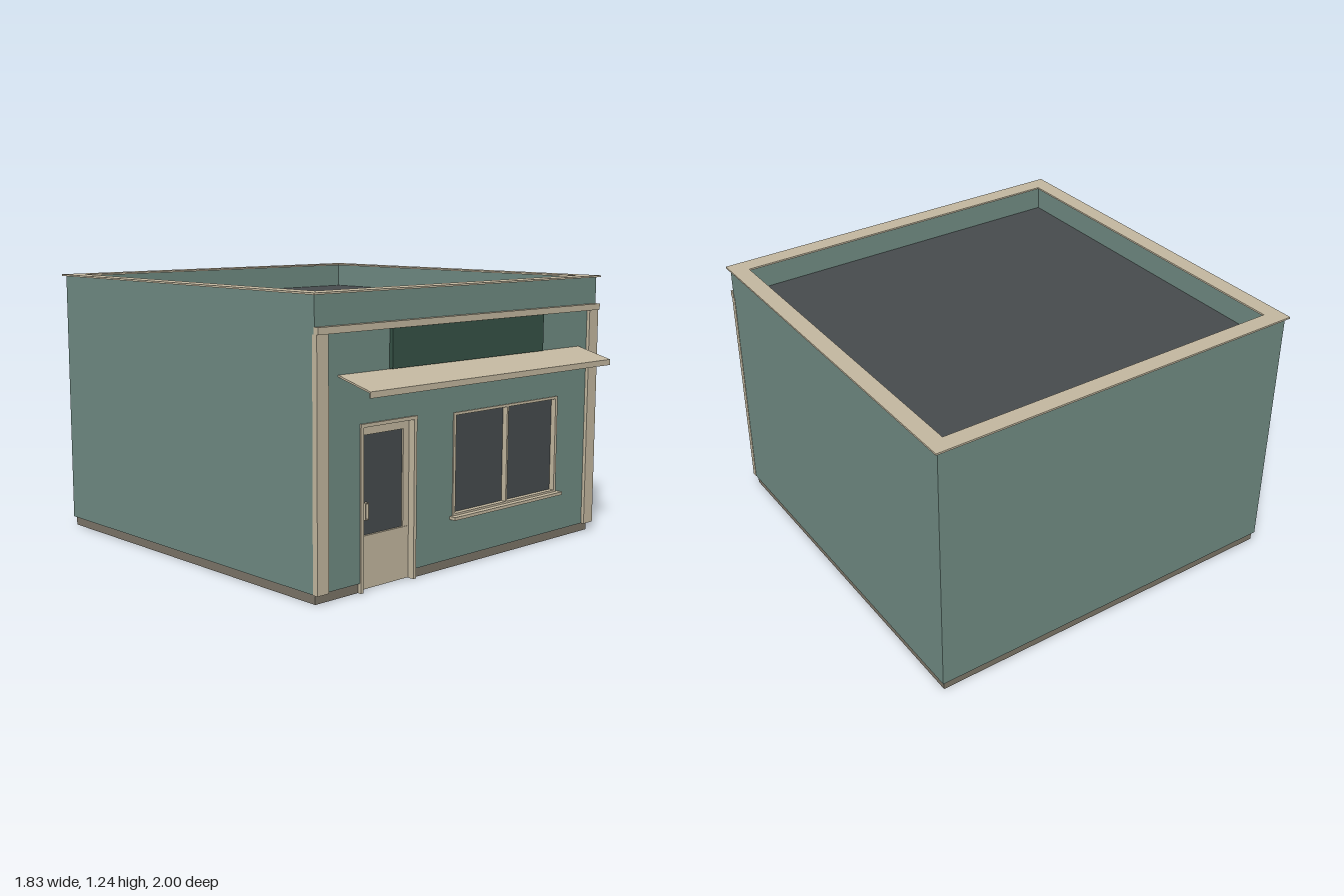
import * as THREE from 'three';

const material = (name, color) => {
  const m = new THREE.MeshStandardMaterial({ color });
  m.name = name;
  return m;
};

export function createModel() {
  const wallGreen = material('wall green', 0x6f8a82);
  const trimCream = material('trim cream', 0xc2b79f);
  const baseBrown = material('base brown', 0x7b7467);
  const darkSlate = material('dark slate', 0x464b4d);
  const signGreen = material('sign green', 0x355145);

  const model = new THREE.Group();
  model.name = 'shop';

  const add = (name, geometry, mat) => {
    const mesh = new THREE.Mesh(geometry, mat);
    mesh.name = name;
    model.add(mesh);
    return mesh;
  };
  // Box given by its extents on each axis
  const box = (name, mat, x0, x1, y0, y1, z0, z1) => {
    const g = new THREE.BoxGeometry(x1 - x0, y1 - y0, z1 - z0);
    g.translate((x0 + x1) / 2, (y0 + y1) / 2, (z0 + z1) / 2);
    return add(name, g, mat);
  };
  const rect = (Type, x0, x1, y0, y1) => new Type([
    [x0, y0], [x1, y0], [x1, y1], [x0, y1],
  ].map(([x, y]) => new THREE.Vector2(x, y)));
  // Upright panel with rectangular holes
  const panel = (name, mat, outline, holes, z0, z1) => {
    outline.holes = holes.map((h) => rect(THREE.Path, ...h));
    const g = new THREE.ExtrudeGeometry(outline, { depth: z1 - z0, bevelEnabled: false });
    g.translate(0, 0, z0);
    return add(name, g, mat);
  };
  // Flat rectangular ring lying between two heights
  const ring = (name, mat, outer, inner, y0, y1) => {
    const [ox, oz0, oz1] = outer;
    const [ix, iz0, iz1] = inner;
    const s = rect(THREE.Shape, -ox, ox, -oz1, -oz0);
    s.holes = [rect(THREE.Path, -ix, ix, -iz1, -iz0)];
    const g = new THREE.ExtrudeGeometry(s, { depth: y1 - y0, bevelEnabled: false });
    g.rotateX(-Math.PI / 2);
    g.translate(0, y0, 0);
    return add(name, g, mat);
  };

  // Walls: the front one has a door notch and a window opening
  const front = new THREE.Shape([
    [-0.9, 0.042], [-0.65, 0.042], [-0.65, 0.695], [-0.335, 0.695],
    [-0.335, 0.042], [0.9, 0.042], [0.9, 1.235], [-0.9, 1.235],
  ].map(([x, y]) => new THREE.Vector2(x, y)));
  panel('frontWall', wallGreen, front, [[-0.095, 0.615, 0.23, 0.685]], 0.765, 0.818);
  box('backWall', wallGreen, -0.9, 0.9, 0.042, 1.235, -0.985, -0.935);
  for (const s of [-1, 1]) {
    const a = s * 0.9, b = s * 0.85;
    box('sideWall', wallGreen, Math.min(a, b), Math.max(a, b), 0.042, 1.235, -0.935, 0.765);
  }

  // Roof deck and parapet cap
  box('roof', darkSlate, -0.85, 0.85, 1.09, 1.12, -0.935, 0.765);
  ring('parapetCap', trimCream, [0.915, -1, 0.834], [0.835, -0.92, 0.75], 1.235, 1.243);

  // Base course, broken at the door
  for (const s of [-1, 1]) {
    const a = s * 0.89, b = s * 0.84;
    box('sideBase', baseBrown, Math.min(a, b), Math.max(a, b), 0, 0.042, -0.925, 0.76);
  }
  box('backBase', baseBrown, -0.89, 0.89, 0, 0.042, -0.975, -0.925);
  box('frontBase', baseBrown, -0.89, -0.655, 0, 0.042, 0.76, 0.807);
  box('frontBase', baseBrown, -0.33, 0.89, 0, 0.042, 0.76, 0.807);

  // Corner pilasters and the band above them
  box('pilaster', trimCream, -0.902, -0.84, 0.042, 1.081, 0.807, 0.834);
  box('pilaster', trimCream, 0.835, 0.902, 0.042, 1.081, 0.807, 0.834);
  box('band', trimCream, -0.902, 0.902, 1.081, 1.11, 0.815, 0.842);

  // Blank sign board
  box('signBoard', signGreen, -0.49, 0.485, 0.915, 1.08, 0.815, 0.836);

  // Sloping awning with a short front drop
  const profile = new THREE.Shape([
    [0.815, 0.914], [1, 0.866], [1, 0.84], [0.994, 0.84], [0.994, 0.86], [0.815, 0.906],
  ].map(([z, y]) => new THREE.Vector2(-z, y)));
  const awning = new THREE.ExtrudeGeometry(profile, { depth: 1.55, bevelEnabled: false });
  awning.rotateY(Math.PI / 2);
  awning.translate(-0.775, 0, 0);
  add('awning', awning, trimCream);

  // Door: frame, head trim, glazed leaf, kick panel and pull
  box('doorJamb', trimCream, -0.655, -0.639, 0, 0.69, 0.763, 0.824);
  box('doorJamb', trimCream, -0.346, -0.33, 0, 0.69, 0.763, 0.824);
  box('doorHead', trimCream, -0.657, -0.328, 0.689, 0.704, 0.763, 0.827);
  panel('doorLeaf', trimCream, rect(THREE.Shape, -0.639, -0.346, 0.002, 0.689),
    [[-0.61, -0.38, 0.23, 0.65]], 0.768, 0.792);
  box('doorGlass', darkSlate, -0.61, -0.38, 0.23, 0.65, 0.776, 0.784);
  box('kickPanel', trimCream, -0.636, -0.349, 0.004, 0.23, 0.79, 0.795);
  panel('doorPull', trimCream, rect(THREE.Shape, -0.615, -0.594, 0.298, 0.37),
    [[-0.611, -0.598, 0.302, 0.366]], 0.79, 0.808);

  // Window: frame with mullion, glass and sill
  panel('windowFrame', trimCream, rect(THREE.Shape, -0.1, 0.62, 0.233, 0.69),
    [[-0.085, 0.255, 0.243, 0.678], [0.265, 0.605, 0.243, 0.678]], 0.763, 0.823);
  box('windowGlass', darkSlate, -0.09, 0.61, 0.238, 0.683, 0.79, 0.798);
  box('windowSill', trimCream, -0.115, 0.635, 0.22, 0.234, 0.8, 0.85);

  return model;
}
